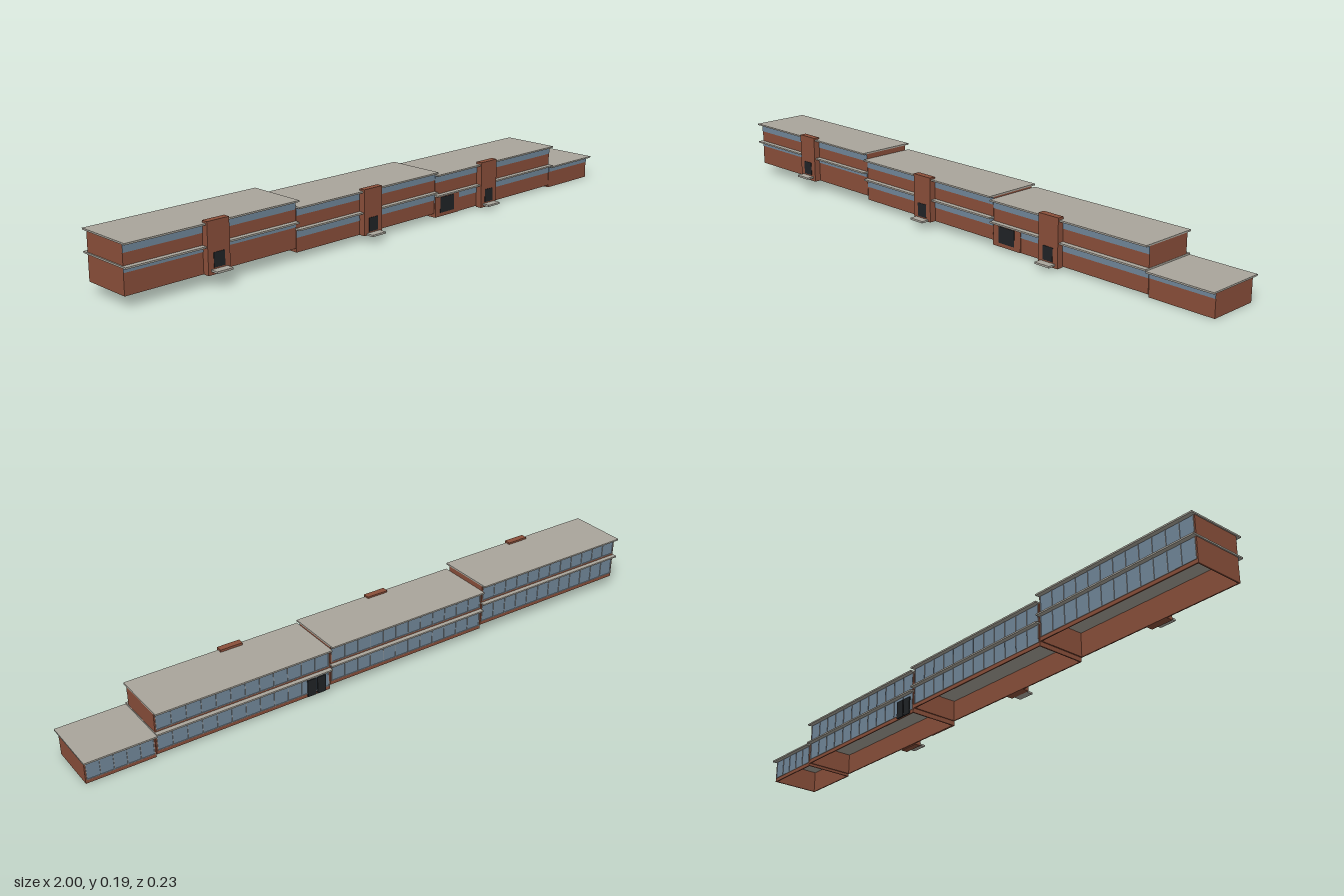
import * as THREE from 'three';

const mat = (name, color, side = THREE.FrontSide) => {
  const m = new THREE.MeshStandardMaterial({ color, side });
  m.name = name;
  return m;
};

export function createModel() {
  const brick = mat('brick', 0x8a4f3a);
  const concrete = mat('concrete', 0xa9a59b);
  const glass = mat('glass', 0x71879a);
  const frame = mat('window frame', 0x92989b);
  const dark = mat('dark door', 0x202326);

  const model = new THREE.Group();
  model.name = 'terracedBuilding';

  // Box given by its limits on each axis
  const box = (parent, name, material, x0, x1, y0, y1, z0, z1) => {
    const mesh = new THREE.Mesh(new THREE.BoxGeometry(x1 - x0, y1 - y0, z1 - z0), material);
    mesh.position.set((x0 + x1) / 2, (y0 + y1) / 2, (z0 + z1) / 2);
    mesh.name = name;
    parent.add(mesh);
    return mesh;
  };

  const FRONT = 0.068, BACK = -0.1, WALL = 0.004, SLAB = 0.005;
  const EAVE_FRONT = 0.085, EAVE_BACK = -0.115;

  // Glazed band on the rear wall, divided into even bays
  const rearGlazing = (parent, x0, x1, y0, y1, bays) => {
    box(parent, 'rearGlass', glass, x0, x1, y0, y1, BACK, BACK + 0.003);
    for (let i = 0; i <= bays; i++) {
      const x = x0 + 0.001 + ((x1 - x0 - 0.002) * i) / bays;
      box(parent, 'mullion', frame, x - 0.001, x + 0.001, y0, y1, BACK - 0.002, BACK + 0.004);
    }
    box(parent, 'windowRail', frame, x0, x1, y0, y0 + 0.002, BACK - 0.002, BACK + 0.004);
  };

  // Stepped blocks: x limits, base, intermediate slab top, roof top, strip heights
  const blocks = [
    { x0: -1, x1: -0.405, base: 0.035, mid: 0.1185, top: 0.184, strips: [0.014, 0.025], bays: 12 },
    { x0: -0.405, x1: 0.185, base: 0.022, mid: 0.096, top: 0.1625, strips: [0.024, 0.024], bays: 12 },
    { x0: 0.185, x1: 0.777, base: 0.008, mid: 0.084, top: 0.1525, strips: [0.024, 0.024], bays: 12 },
    { x0: 0.777, x1: 1, base: 0, mid: null, top: 0.079, strips: [0.018], bays: 5 },
  ];

  blocks.forEach((b, i) => {
    const g = new THREE.Group();
    g.name = 'block' + (i + 1);
    model.add(g);
    const x0 = b.x0 + (i === 0 ? 0.004 : 0.001);
    const x1 = b.x1 - (i === 3 ? 0.005 : 0.001);
    const roofUnder = b.top - SLAB;

    // Open-bottomed shell
    box(g, 'frontWall', brick, x0, x1, b.base, roofUnder, FRONT - WALL, FRONT);
    box(g, 'rightEndWall', brick, x0, x0 + WALL, b.base, roofUnder, BACK, FRONT - WALL);
    box(g, 'leftEndWall', brick, x1 - WALL, x1, b.base, roofUnder, BACK, FRONT - WALL);

    // Floor and roof slabs with overhanging eaves
    const slabs = b.mid === null ? [b.top] : [b.mid, b.top];
    let floor = b.base;
    slabs.forEach((top, level) => {
      const under = top - SLAB;
      const isRoof = level === slabs.length - 1;
      box(g, isRoof ? 'roofSlab' : 'floorSlab', concrete, b.x0, b.x1, under, top, EAVE_BACK, EAVE_FRONT);
      box(g, 'frontStripWindow', glass, x0, x1, under - b.strips[level], under, FRONT, FRONT + 0.0015);

      // Rear brick sill and glazing above it
      const sill = floor + (level === 0 ? 0.012 : 0.006);
      box(g, 'rearSill', brick, x0 + WALL, x1 - WALL, floor, sill, BACK, BACK + WALL);
      rearGlazing(g, x0 + WALL, x1 - WALL, sill, under, b.bays);
      floor = top;
    });
  });

  // Entrance towers with door and doorstep
  [
    { x: -0.702, base: 0.035, top: 0.19, step: 0.051 },
    { x: -0.112, base: 0.022, top: 0.168, step: 0.0285 },
    { x: 0.427, base: 0.005, top: 0.16, step: 0.0175 },
  ].forEach((t, i) => {
    const g = new THREE.Group();
    g.name = 'entranceTower' + (i + 1);
    model.add(g);
    box(g, 'tower', brick, t.x - 0.038, t.x + 0.038, t.base, t.top, FRONT, 0.09);
    box(g, 'entranceDoor', dark, t.x - 0.019, t.x + 0.019, t.step + 0.004, t.step + 0.048, 0.09, 0.0915);
    box(g, 'doorstep', concrete, t.x - 0.028, t.x + 0.028, t.step - 0.006, t.step, 0.09, 0.116);
  });

  // Service door in a plain brick panel
  box(model, 'servicePanel', brick, 0.187, 0.3, 0.008, 0.079, FRONT, FRONT + 0.003);
  box(model, 'serviceDoor', dark, 0.21, 0.275, 0.02, 0.072, FRONT + 0.003, FRONT + 0.0045);

  // Pair of rear doors
  for (const x of [0.203, 0.238]) {
    box(model, 'rearDoor', dark, x, x + 0.03, 0.01, 0.068, BACK - 0.004, BACK + 0.005);
  }

  return model;
}
